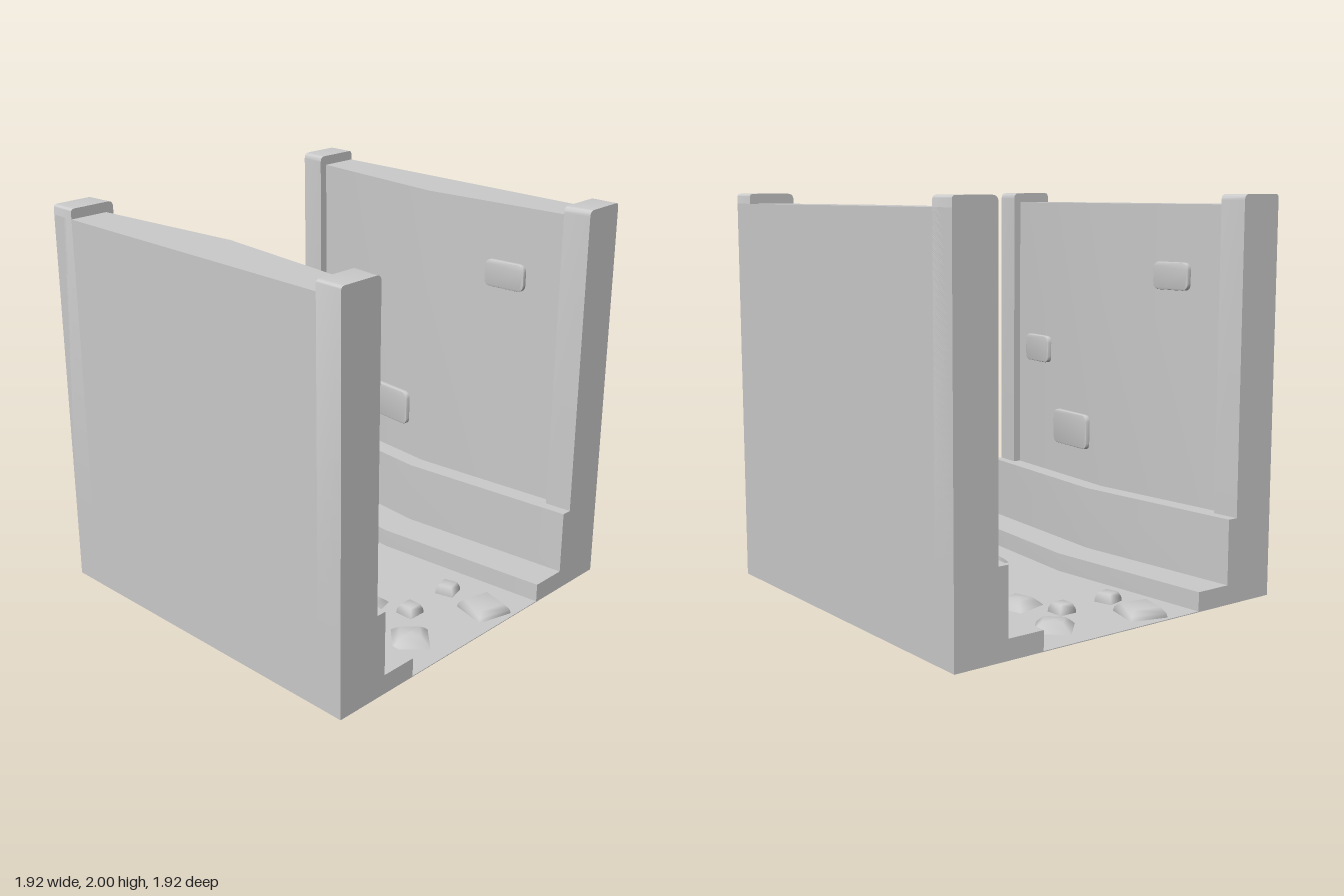
import * as THREE from 'three';
import { toCreasedNormals } from 'three/addons/utils/BufferGeometryUtils.js';

const HALF = 0.96;    // half width and half depth of the tile
const SLOPE = 0.094;  // how fast each wall recedes away from its middle
const material = new THREE.MeshStandardMaterial({ color: 0xcccccc });

function addMesh(parent, name, geometry) {
  const mesh = new THREE.Mesh(geometry, material);
  mesh.name = name;
  parent.add(mesh);
  return mesh;
}

// Layer of the wall: straight outside, inner face bulging to z = -inner in the middle
function wallLayer(inner, y0, y1) {
  const end = inner + SLOPE * HALF;
  const plan = new THREE.Shape([
    [-HALF, end], [0, inner], [HALF, end], [HALF, HALF], [-HALF, HALF],
  ].map(([x, y]) => new THREE.Vector2(x, y)));
  const geometry = new THREE.ExtrudeGeometry(plan, { depth: y1 - y0, bevelEnabled: false });
  geometry.rotateX(-Math.PI / 2).translate(0, y0, 0);
  return toCreasedNormals(geometry, 0.4);
}

// Pillar with a rounded head, its inner face following the slope of the wall
function pillarGeometry(side) {
  const inner = -0.714, r = 0.03, s = new THREE.Shape();
  s.moveTo(-HALF, 0.43);
  s.lineTo(inner, 0.43);
  s.lineTo(inner, 2 - r);
  s.quadraticCurveTo(inner, 2, inner - r, 2);
  s.lineTo(-HALF + 0.02, 2);
  s.quadraticCurveTo(-HALF, 2, -HALF, 2 - 0.02);
  const geometry = new THREE.ExtrudeGeometry(s, { depth: 0.14, bevelEnabled: false, curveSegments: 5 });
  geometry.rotateY(-Math.PI / 2).translate(side > 0 ? HALF : -0.82, 0, 0);
  const p = geometry.attributes.position;
  for (let i = 0; i < p.count; i++) {
    if (p.getZ(i) > -0.8) p.setZ(i, p.getZ(i) - SLOPE * (Math.abs(p.getX(i)) - 0.82));
  }
  return toCreasedNormals(geometry, 0.6);
}

// Rounded brick standing slightly proud of the wall
function brickGeometry(w, h) {
  const b = 0.006, x = w / 2 - b, y = h / 2 - b, r = 0.03;
  const s = new THREE.Shape();
  s.moveTo(-x + r, -y);
  s.lineTo(x - r, -y);
  s.quadraticCurveTo(x, -y, x, -y + r);
  s.lineTo(x, y - r);
  s.quadraticCurveTo(x, y, x - r, y);
  s.lineTo(-x + r, y);
  s.quadraticCurveTo(-x, y, -x, y - r);
  s.lineTo(-x, -y + r);
  s.quadraticCurveTo(-x, -y, -x + r, -y);
  const geometry = new THREE.ExtrudeGeometry(s, {
    depth: 0.028, bevelThickness: b, bevelSize: b, bevelSegments: 2, curveSegments: 4,
  });
  return toCreasedNormals(geometry.translate(0, 0, -0.01), 0.6);
}

// Four-sided stone with softened shading; profile is [radius, height] from the floor up
function stoneGeometry(profile) {
  return new THREE.LatheGeometry(profile.map(([r, y]) => new THREE.Vector2(r, y)), 4);
}
const STONES = {
  mound: [[0.133, 0], [0.105, 0.022], [0.07, 0.045], [0, 0.05]],
  block: [[0.138, 0], [0.13, 0.025], [0.1, 0.05], [0, 0.05]],
  pebble: [[0.07, 0], [0.066, 0.025], [0.05, 0.05], [0, 0.05]],
};

function createHalf() {
  const half = new THREE.Group();

  // Stepped wall
  addMesh(half, 'kerb', wallLayer(0.388, 0, 0.1));
  addMesh(half, 'wallFooting', wallLayer(0.583, 0.1, 0.43));
  addMesh(half, 'wall', wallLayer(0.68, 0.43, 1.95));
  for (const side of [-1, 1]) addMesh(half, 'pillar', pillarGeometry(side));

  // Bricks: centre x, centre y, width, height
  for (const [x, y, w, h] of [
    [0.485, 1.59, 0.23, 0.14], [-0.605, 1.125, 0.23, 0.15], [-0.27, 0.705, 0.32, 0.19],
  ]) {
    const brick = addMesh(half, 'brick', brickGeometry(w, h));
    brick.position.set(x, y, -0.68 - SLOPE * Math.abs(x));
    brick.rotation.y = Math.sign(x) * Math.atan(SLOPE);
  }

  // Stones on the floor: kind, x, z, turn in degrees
  for (const [kind, x, z, turn] of [
    ['mound', -0.74, -0.245, 0], ['mound', -0.36, -0.165, 60], ['pebble', -0.57, -0.055, 45],
    ['block', -0.82, 0.225, 30], ['pebble', -0.57, 0.24, 60],
  ]) {
    const stone = addMesh(half, kind + 'Stone', stoneGeometry(STONES[kind]));
    stone.position.set(x, 0.001, z);
    stone.rotation.y = THREE.MathUtils.degToRad(turn);
  }
  return half;
}

export function createModel() {
  const model = new THREE.Group();
  model.name = 'corridorTile';

  // Thin floor
  addMesh(model, 'floor', new THREE.BoxGeometry(2 * HALF, 0.004, 2 * HALF)).position.y = 0.002;

  // Two identical halves facing each other
  for (const [name, turn] of [['backHalf', 0], ['frontHalf', Math.PI]]) {
    const half = createHalf();
    half.name = name;
    half.rotation.y = turn;
    model.add(half);
  }
  return model;
}
